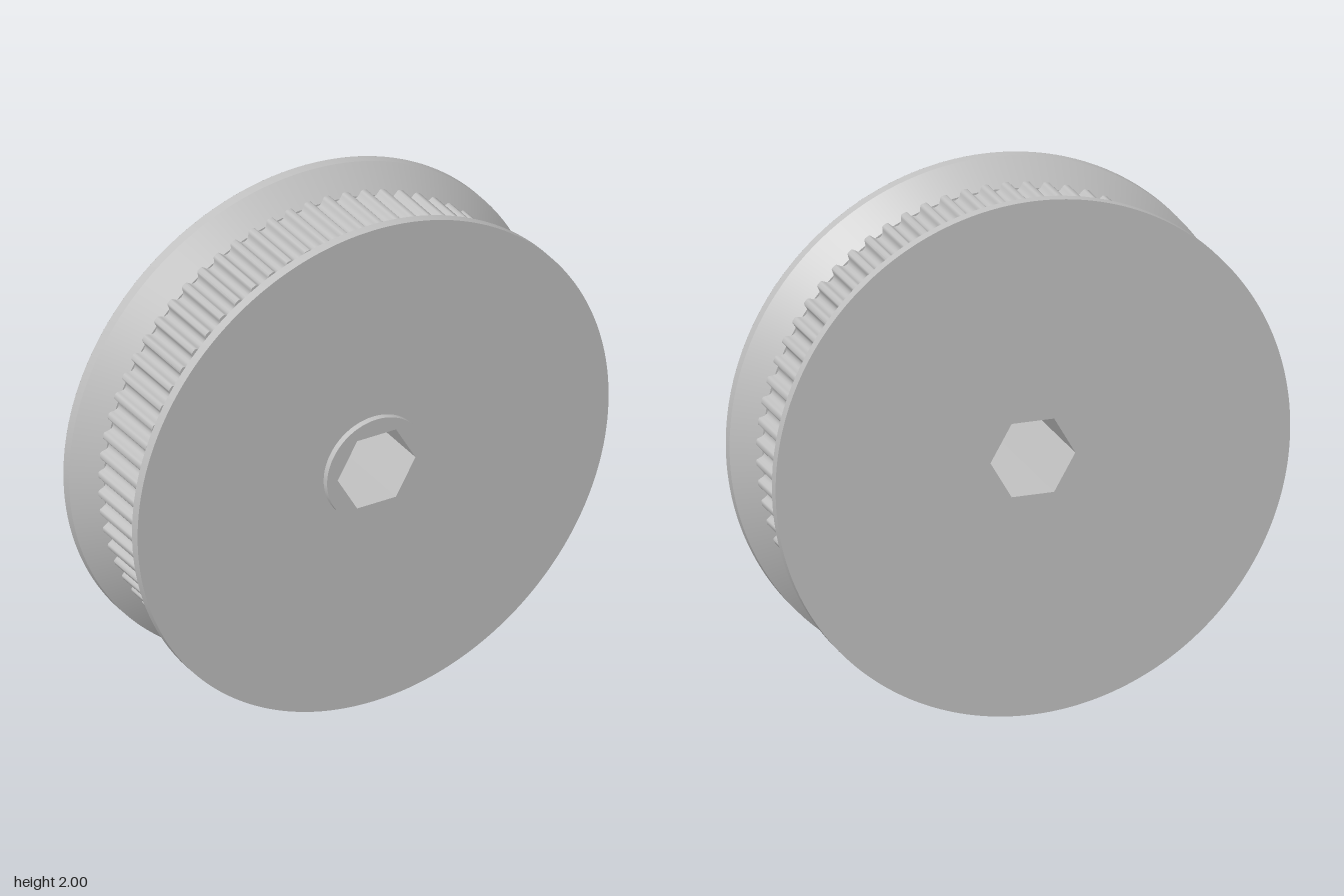
import * as THREE from 'three';
import { toCreasedNormals } from 'three/addons/utils/BufferGeometryUtils.js';

const TEETH = 72;
const HEX_R = 0.165;
const SEGMENTS = 144;

// Hexagonal bore outline with corners on the x axis
function hexPath() {
  const points = [];
  for (let i = 0; i < 6; i++) {
    const a = -i * Math.PI / 3;
    points.push(new THREE.Vector2(HEX_R * Math.cos(a), HEX_R * Math.sin(a)));
  }
  return new THREE.Path(points);
}

// Flat disc with the hexagonal bore cut out
function faceGeometry(radius) {
  const shape = new THREE.Shape().absarc(0, 0, radius, 0, Math.PI * 2);
  shape.holes.push(hexPath());
  return new THREE.ShapeGeometry(shape, SEGMENTS);
}

// Surface of revolution around z from [radius, z] pairs
function turned(profile) {
  const points = profile.map(([r, z]) => new THREE.Vector2(r, z));
  const geometry = new THREE.LatheGeometry(points, SEGMENTS);
  geometry.rotateX(Math.PI / 2);
  return toCreasedNormals(geometry, 0.5);
}

// Toothed belt track with rounded grooves
function drumGeometry(z0, z1) {
  const groove = [
    [-0.4, 0.93], [-0.34, 0.927], [-0.29, 0.918], [-0.24, 0.908], [-0.14, 0.9],
    [0, 0.897],
    [0.14, 0.9], [0.24, 0.908], [0.29, 0.918], [0.34, 0.927], [0.4, 0.93],
  ];
  const points = [];
  for (let i = 0; i < TEETH; i++) {
    for (const [u, r] of groove) {
      const a = (i + u) / TEETH * Math.PI * 2;
      points.push(new THREE.Vector2(r * Math.cos(a), r * Math.sin(a)));
    }
  }
  const shape = new THREE.Shape(points);
  shape.holes.push(hexPath());
  const geometry = new THREE.ExtrudeGeometry(shape, { depth: z1 - z0, bevelEnabled: false });
  geometry.translate(0, 0, z0);
  return toCreasedNormals(geometry, 0.7);
}

export function createModel() {
  const metal = new THREE.MeshStandardMaterial({ color: 0xc0c0c0 });
  metal.name = 'greyMetal';
  metal.side = THREE.DoubleSide;

  const pulley = new THREE.Group();
  pulley.name = 'timingPulley';
  const add = (name, geometry) => {
    const mesh = new THREE.Mesh(geometry, metal);
    mesh.name = name;
    pulley.add(mesh);
    return mesh;
  };

  add('toothedDrum', drumGeometry(-0.15, 0.12));

  // Flanges with conical inner sides
  add('frontFlangeRim', turned([[0.905, 0.12], [1, 0.21], [1, 0.25]]));
  add('frontFlangeFace', faceGeometry(1)).position.z = 0.25;
  add('backFlangeRim', turned([[1, -0.28], [1, -0.24], [0.905, -0.15]]));
  const back = add('backFlangeFace', faceGeometry(1));
  back.rotation.y = Math.PI;
  back.position.z = -0.28;

  // Raised hub on the front
  add('hubRim', turned([[0.21, 0.25], [0.21, 0.275]]));
  add('hubFace', faceGeometry(0.21)).position.z = 0.275;

  // Hexagonal bore walls through the whole pulley
  const bore = new THREE.CylinderGeometry(HEX_R, HEX_R, 0.555, 6, 1, true, Math.PI / 2);
  bore.rotateX(Math.PI / 2);
  bore.translate(0, 0, -0.0025);
  add('hexBore', toCreasedNormals(bore, 0.3));

  pulley.position.y = 1;
  const model = new THREE.Group();
  model.name = 'pulleyModel';
  model.add(pulley);
  return model;
}
